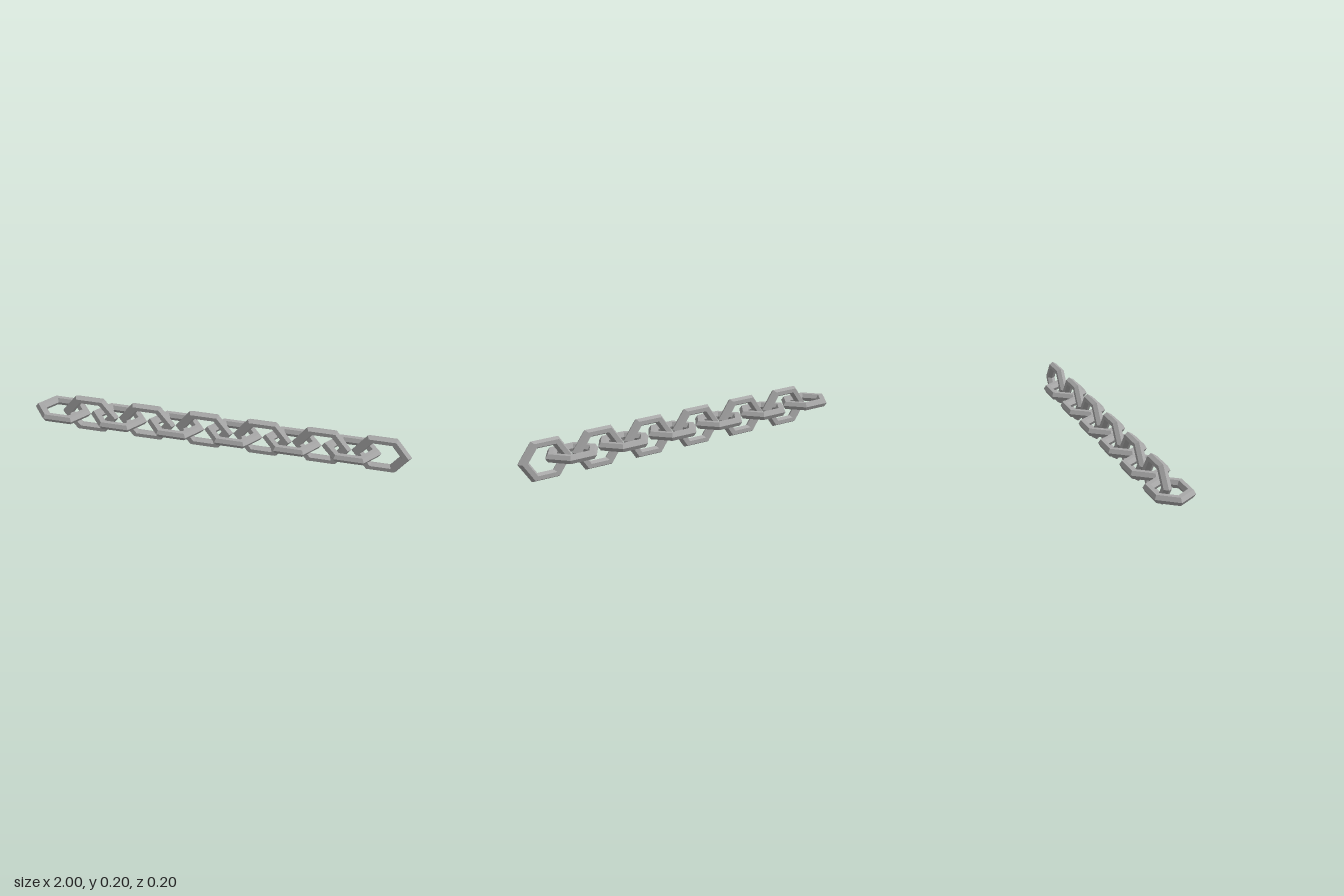
import * as THREE from 'three';

export function createModel() {
  const model = new THREE.Group();
  model.name = 'chain';

  const steel = new THREE.MeshStandardMaterial({ color: 0xa8a8a8, flatShading: true });
  steel.name = 'steel grey';

  const linkCount = 12;
  const pitch = 2 / (linkCount + 1); // each link reaches to the middle of its neighbour
  const ring = 0.094, bar = 0.0235;

  // Six-sided ring of hexagonal bar, stretched along the chain
  const linkGeometry = new THREE.TorusGeometry(ring, bar, 6, 6);
  linkGeometry.scale(pitch / (ring + bar), 1, 1);
  const halfHeight = (ring + bar) * Math.cos(Math.PI / 6);

  // Links alternate between lying flat and standing upright
  for (let i = 0; i < linkCount; i++) {
    const flat = i % 2 === 0;
    const link = new THREE.Mesh(linkGeometry, steel);
    link.name = (flat ? 'flatLink' : 'uprightLink') + (Math.floor(i / 2) + 1);
    link.position.set((i - (linkCount - 1) / 2) * pitch, halfHeight, 0);
    if (flat) link.rotation.x = Math.PI / 2;
    model.add(link);
  }
  return model;
}
